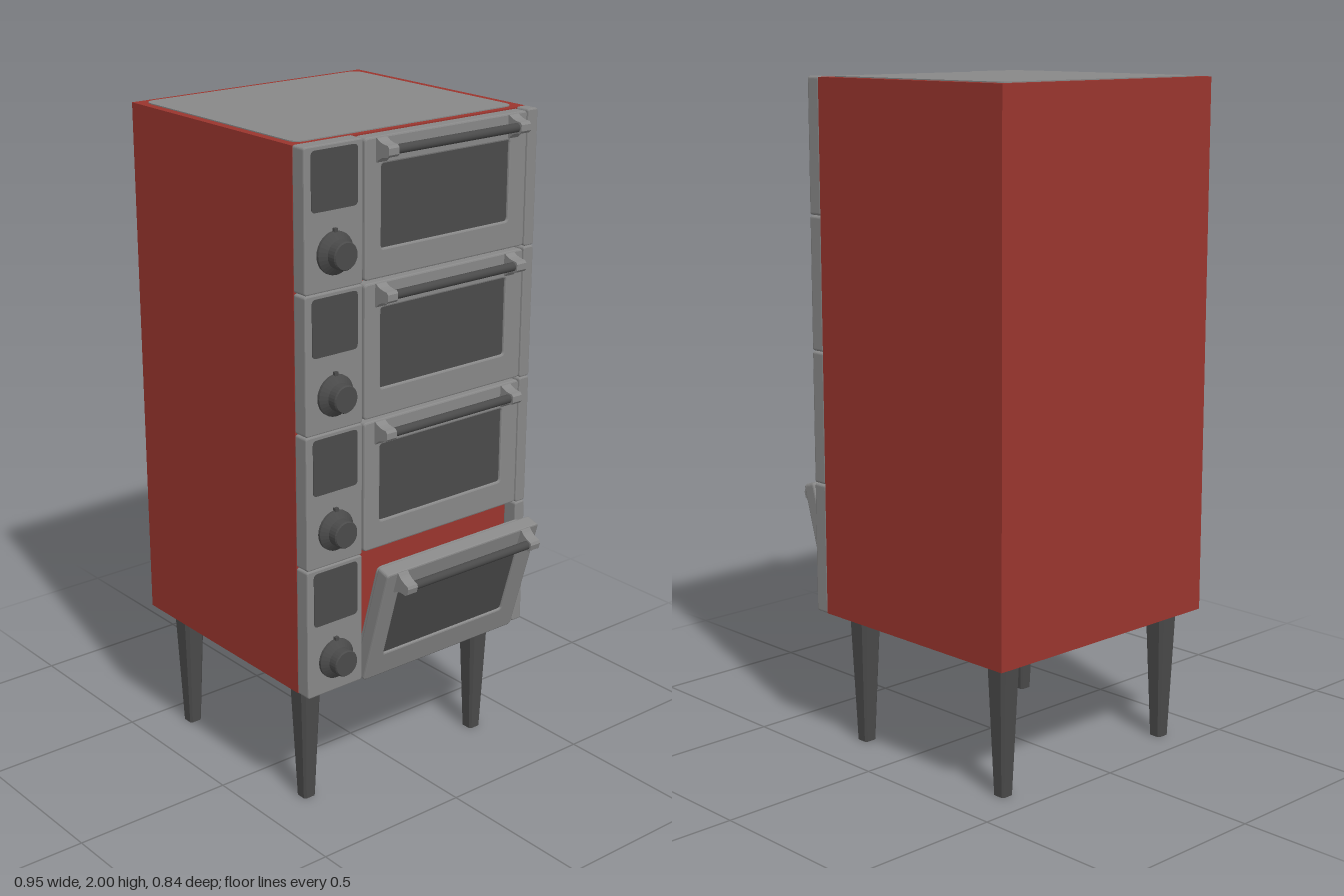
import * as THREE from 'three';

const mat = (name, color) => {
  const m = new THREE.MeshStandardMaterial({ color });
  m.name = name;
  return m;
};

// Rounded rectangle, traced into a Shape or Path
function roundRect(path, x0, x1, y0, y1, r) {
  path.moveTo(x0 + r, y0);
  path.lineTo(x1 - r, y0);
  path.quadraticCurveTo(x1, y0, x1, y0 + r);
  path.lineTo(x1, y1 - r);
  path.quadraticCurveTo(x1, y1, x1 - r, y1);
  path.lineTo(x0 + r, y1);
  path.quadraticCurveTo(x0, y1, x0, y1 - r);
  path.lineTo(x0, y0 + r);
  path.quadraticCurveTo(x0, y0, x0 + r, y0);
  return path;
}

// Slab facing +x, given its z, y and x ranges, with small bevels and an optional opening
function slab(z, y, x, r, bevel = 0, hole = null) {
  const b = bevel;
  const s = roundRect(new THREE.Shape(), -z[1] + b, -z[0] - b, y[0] + b, y[1] - b, r);
  if (hole) s.holes.push(roundRect(new THREE.Path(), -hole.z[1] - b, -hole.z[0] + b, hole.y[0] - b, hole.y[1] + b, 0.015));
  const g = new THREE.ExtrudeGeometry(s, {
    depth: x[1] - x[0] - 2 * b, bevelEnabled: b > 0, bevelSize: b, bevelThickness: b, bevelSegments: 2, curveSegments: 5,
  });
  return g.translate(0, 0, x[0] + b).rotateY(Math.PI / 2);
}

export function createModel() {
  const red = mat('red enamel', 0x9a352e);
  const steel = mat('grey steel', 0x888888);
  const dark = mat('dark trim', 0x4a4a4a);
  const model = new THREE.Group();
  model.name = 'deckOven';
  const add = (parent, name, geo, material) => {
    const m = new THREE.Mesh(geo, material);
    m.name = name;
    parent.add(m);
    return m;
  };

  // Cabinet with inset top and bottom plates
  const cabinet = add(model, 'cabinet', new THREE.BoxGeometry(0.75, 1.594, 0.84), red);
  cabinet.position.set(-0.1, 1.2, 0);
  const lidShape = roundRect(new THREE.Shape(), -0.45, 0.255, -0.395, 0.39, 0.035);
  const lid = () => new THREE.ExtrudeGeometry(lidShape, { depth: 0.004, bevelEnabled: false, curveSegments: 6 }).rotateX(-Math.PI / 2);
  add(model, 'topPlate', lid(), steel).position.y = 1.996;
  add(model, 'bottomPlate', lid(), dark).position.y = 0.4;

  // Tapered legs with chamfered corners
  const legShape = new THREE.Shape([
    [-1, -0.7], [-0.7, -1], [0.7, -1], [1, -0.7], [1, 0.7], [0.7, 1], [-0.7, 1], [-1, 0.7],
  ].map(([x, y]) => new THREE.Vector2(x, y)));
  const legGeo = new THREE.ExtrudeGeometry(legShape, { depth: 0.403, bevelEnabled: false }).rotateX(-Math.PI / 2);
  const p = legGeo.attributes.position;
  for (let i = 0; i < p.count; i++) {
    const w = THREE.MathUtils.lerp(0.021, 0.037, p.getY(i) / 0.403);
    p.setX(i, p.getX(i) * w);
    p.setZ(i, p.getZ(i) * w);
  }
  legGeo.computeVertexNormals();
  for (const x of [-0.395, 0.2]) {
    for (const z of [-0.335, 0.335]) add(model, 'leg', legGeo, dark).position.set(x, 0, z);
  }

  // Handle bracket profile, tapering away from the door
  const bracketShape = new THREE.Shape();
  bracketShape.moveTo(0.32, 0.327);
  bracketShape.lineTo(0.328, 0.327);
  bracketShape.quadraticCurveTo(0.342, 0.346, 0.372, 0.347);
  bracketShape.lineTo(0.378, 0.354);
  bracketShape.lineTo(0.378, 0.372);
  bracketShape.lineTo(0.372, 0.379);
  bracketShape.quadraticCurveTo(0.342, 0.38, 0.328, 0.393);
  bracketShape.lineTo(0.32, 0.393);
  const bracketGeo = new THREE.ExtrudeGeometry(bracketShape, { depth: 0.036, bevelEnabled: false, curveSegments: 5 });

  // Knob turned around the x axis
  const knobGeo = new THREE.LatheGeometry([
    [0, 0], [0.06, 0], [0.06, 0.009], [0.04, 0.024], [0.04, 0.05], [0.037, 0.054], [0, 0.054],
  ].map(([r, h]) => new THREE.Vector2(r, h)), 28).toNonIndexed().rotateZ(-Math.PI / 2);
  knobGeo.computeVertexNormals();

  // Door built closed, with its bottom edge at y = 0.005
  function buildDoor() {
    const door = new THREE.Group();
    door.name = 'door';
    const win = { z: [-0.312, 0.157], y: [0.088, 0.32] };
    const frameZ = [-0.378, 0.215];
    add(door, 'doorFrame', slab(frameZ, [0.005, 0.396], [0.279, 0.324], 0.006, 0.005, win), steel);
    add(door, 'doorGlass', slab([-0.32, 0.165], [0.08, 0.328], [0.285, 0.317], 0.015), dark);
    add(door, 'doorLiner', slab([-0.36, 0.198], [0.025, 0.377], [0.256, 0.28], 0.015, 0.004, win), steel);
    add(door, 'innerGlass', slab([-0.32, 0.165], [0.08, 0.328], [0.262, 0.279], 0.015), dark);
    for (const z of [-0.322, 0.16]) add(door, 'handleBracket', bracketGeo, steel).position.z = z - 0.018;
    const bar = add(door, 'handleBar', new THREE.CylinderGeometry(0.013, 0.013, 0.48, 16), dark);
    bar.rotation.x = Math.PI / 2;
    bar.position.set(0.36, 0.363, -0.081);
    return door;
  }

  // Four stacked decks, the lowest with its door ajar
  for (let i = 0; i < 4; i++) {
    const deck = new THREE.Group();
    deck.name = 'deck' + (i + 1);
    deck.position.y = 0.4 + i * 0.4;
    model.add(deck);
    const span = [0.001, 0.399];
    add(deck, 'controlPanel', slab([0.221, 0.42], span, [0.274, 0.323], 0.004, 0.004), steel);
    add(deck, 'sidePost', slab([-0.42, -0.382], span, [0.274, 0.323], 0.004, 0.004), steel);
    add(deck, 'displayScreen', slab([0.24, 0.397], [0.222, 0.387], [0.32, 0.325], 0.014), dark);
    add(deck, 'knob', knobGeo, dark).position.set(0.322, 0.105, 0.32);
    const pointer = add(deck, 'knobPointer', new THREE.BoxGeometry(0.01, 0.03, 0.012), dark);
    pointer.position.set(0.328, 0.158, 0.32);

    const hinge = new THREE.Group();
    hinge.name = 'doorHinge';
    hinge.position.set(0.279, 0.005, 0);
    const door = buildDoor();
    door.position.set(-0.279, -0.005, 0);
    hinge.add(door);
    if (i === 0) hinge.rotation.z = -THREE.MathUtils.degToRad(16);
    deck.add(hinge);
  }
  return model;
}
